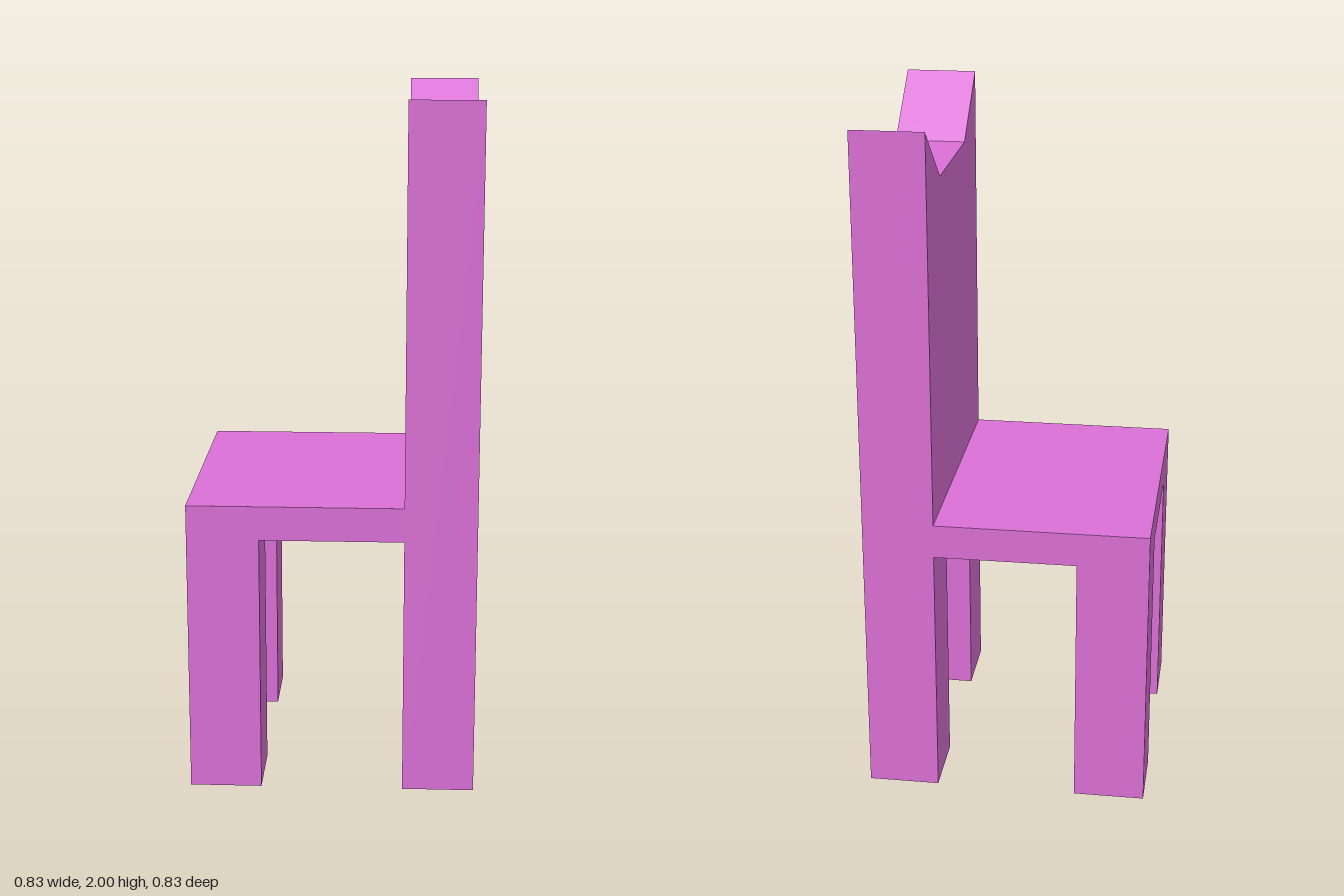
import * as THREE from 'three';

const HALF = 0.415;   // half of the square footprint
const INNER = 0.207;  // inner edge of legs and back
const LEG = HALF - INNER;
const SEAT_BOTTOM = 0.76, SEAT_TOP = 0.86;

export function createModel() {
  const chair = new THREE.Group();
  chair.name = 'chair';
  const material = new THREE.MeshStandardMaterial({ color: 0xda70d6, flatShading: true });

  const add = (name, geometry, x, y, z) => {
    const mesh = new THREE.Mesh(geometry, material);
    mesh.name = name;
    mesh.position.set(x, y, z);
    chair.add(mesh);
    return mesh;
  };

  // Seat slab, reaching to the face of the back
  const thickness = SEAT_TOP - SEAT_BOTTOM;
  add('seat', new THREE.BoxGeometry(HALF + INNER, thickness, HALF * 2),
    (INNER - HALF) / 2, SEAT_BOTTOM + thickness / 2, 0);

  // Two legs under the open edge of the seat
  for (const side of [-1, 1]) {
    add('seatLeg', new THREE.BoxGeometry(LEG, SEAT_BOTTOM, LEG),
      -(HALF + INNER) / 2, SEAT_BOTTOM / 2, side * (HALF + INNER) / 2);
  }

  // Back with its two legs: one outline with peaked corners, extruded along x
  const half = [[INNER, SEAT_BOTTOM], [INNER, 0], [HALF, 0], [HALF, 2], [INNER, 1.83]];
  const mirrored = half.map(([z, y]) => [-z, y]).reverse();
  const outline = new THREE.Shape([...half, ...mirrored].map(([z, y]) => new THREE.Vector2(z, y)));
  const back = add('backWithLegs',
    new THREE.ExtrudeGeometry(outline, { depth: LEG, bevelEnabled: false }), INNER, 0, 0);
  back.rotation.y = Math.PI / 2;

  return chair;
}
